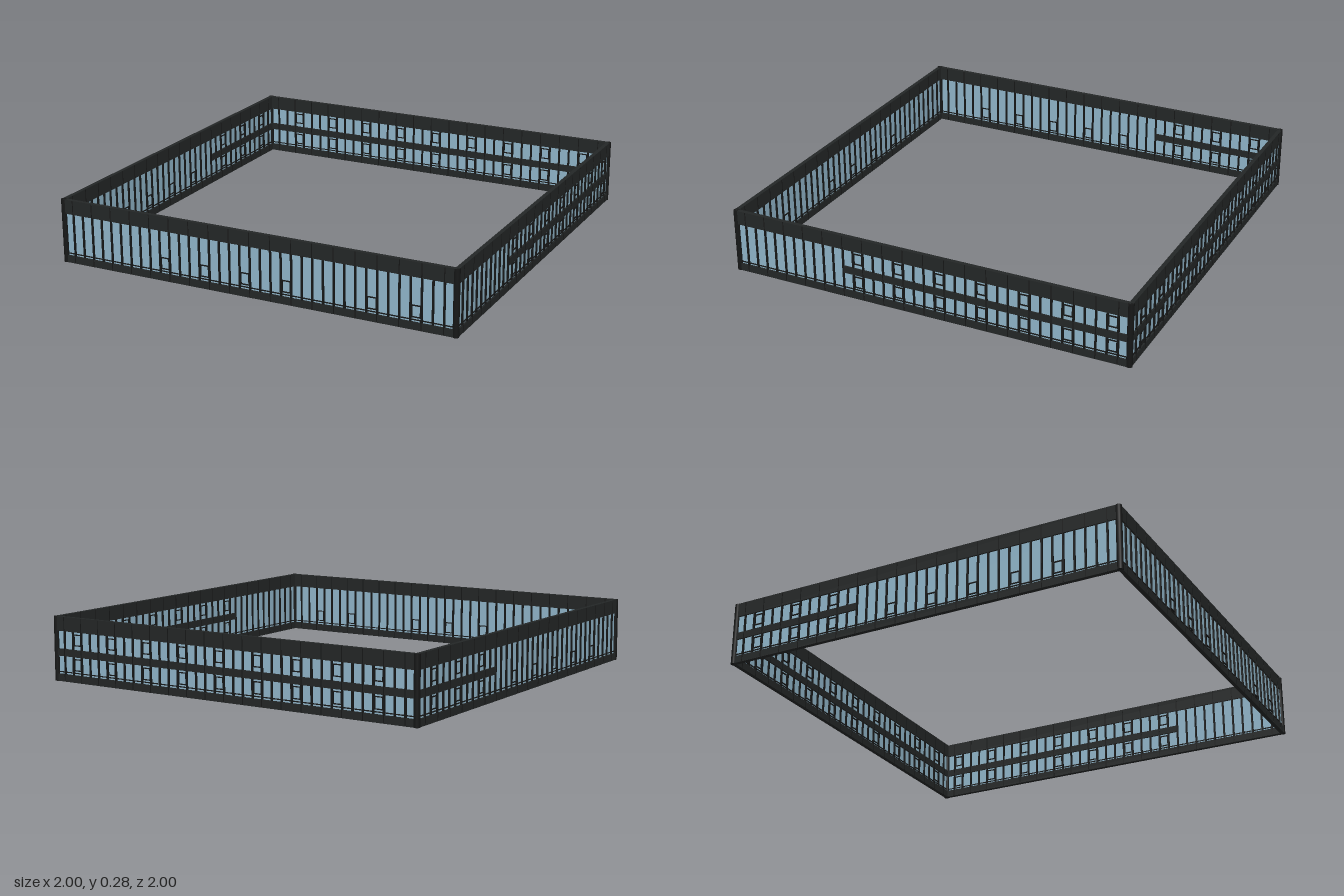
import * as THREE from 'three';
import { mergeGeometries } from 'three/addons/utils/BufferGeometryUtils.js';

const HALF = 0.893, PANELS = 38, PITCH = (2 * HALF) / PANELS;
const HEIGHT = 0.28, DEPTH = 0.018;

// Per wall: panels covered by the floor band, and panels holding opening windows
const WALLS = [
  { name: 'frontWall', band: null, low: [10, 14, 18, 22, 30, 34], high: [] },
  { name: 'leftWall', band: [11, 38], low: [12, 16, 20, 24, 28, 32, 36], high: [12, 16, 20, 24, 28, 32, 36] },
  { name: 'backWall', band: [0, 38], low: [2, 6, 10, 14, 18, 22, 26, 30, 34], high: [2, 6, 10, 14, 18, 22, 26, 30, 34] },
  { name: 'rightWall', band: [0, 13], low: [2, 6, 10, 16, 20, 24, 28, 32], high: [2, 6, 10] },
];

// Box spanning x0..x1 and y0..y1, centred on the wall plane
function slab(x0, x1, y0, y1, depth) {
  return new THREE.BoxGeometry(x1 - x0, y1 - y0, depth)
    .translate((x0 + x1) / 2, (y0 + y1) / 2, HALF);
}

const edge = (i) => -HALF + i * PITCH;

export function createModel() {
  const glass = new THREE.MeshStandardMaterial({ color: 0x8fb4c8 });
  const band = new THREE.MeshStandardMaterial({ color: 0x232626 });
  const frame = new THREE.MeshStandardMaterial({ color: 0x161717 });
  glass.name = 'glass blue';
  band.name = 'charcoal band';
  frame.name = 'black frame';

  const model = new THREE.Group();
  model.name = 'facadeRing';
  model.rotation.y = -0.1094;

  WALLS.forEach((w, k) => {
    const wall = new THREE.Group();
    wall.name = w.name;
    wall.rotation.y = (k * Math.PI) / 2;
    const add = (name, parts, material) => {
      const mesh = new THREE.Mesh(mergeGeometries(parts), material);
      mesh.name = name;
      wall.add(mesh);
    };

    add('glazing', [slab(-HALF, HALF, 0.03, 0.22, 0.004)], glass);

    // Parapet, plinth and optional floor band
    const bands = [
      slab(-HALF, HALF, 0.218, HEIGHT, DEPTH),
      slab(-HALF, HALF, 0, 0.032, DEPTH),
    ];
    if (w.band) bands.push(slab(edge(w.band[0]), edge(w.band[1]), 0.11, 0.141, DEPTH));
    add('bands', bands, band);

    // Mullions; every second one runs on over the parapet as a joint
    const mullions = [];
    for (let i = 0; i <= PANELS; i++) {
      const x = edge(i);
      mullions.push(slab(x - 0.004, x + 0.004, 0.03, 0.22, DEPTH - 0.002));
      if (i % 2) mullions.push(slab(x - 0.002, x + 0.002, 0.001, HEIGHT - 0.001, DEPTH + 0.001));
    }
    add('mullions', mullions, frame);

    // Low rail and the sashes of the opening windows
    const rails = [slab(-HALF, HALF, 0.039, 0.043, 0.012)];
    const sash = (i, y0, y1) => {
      const a = edge(i) + 0.003, b = edge(i + 1) - 0.003;
      rails.push(
        slab(a, b, y0, y0 + 0.004, 0.014),
        slab(a, b, y1 - 0.004, y1, 0.014),
        slab(a, a + 0.004, y0, y1, 0.014),
        slab(b - 0.004, b, y0, y1, 0.014),
      );
    };
    w.low.forEach((i) => sash(i, 0.05, 0.102));
    w.high.forEach((i) => sash(i, 0.158, 0.208));
    add('windowSashes', rails, frame);

    // Corner post at the wall's start
    const post = new THREE.Mesh(new THREE.CylinderGeometry(0.013, 0.013, HEIGHT, 12), frame);
    post.name = 'cornerPost';
    post.position.set(-HALF, HEIGHT / 2, HALF);
    wall.add(post);

    model.add(wall);
  });

  const root = new THREE.Group();
  root.name = 'building';
  root.add(model);
  return root;
}
